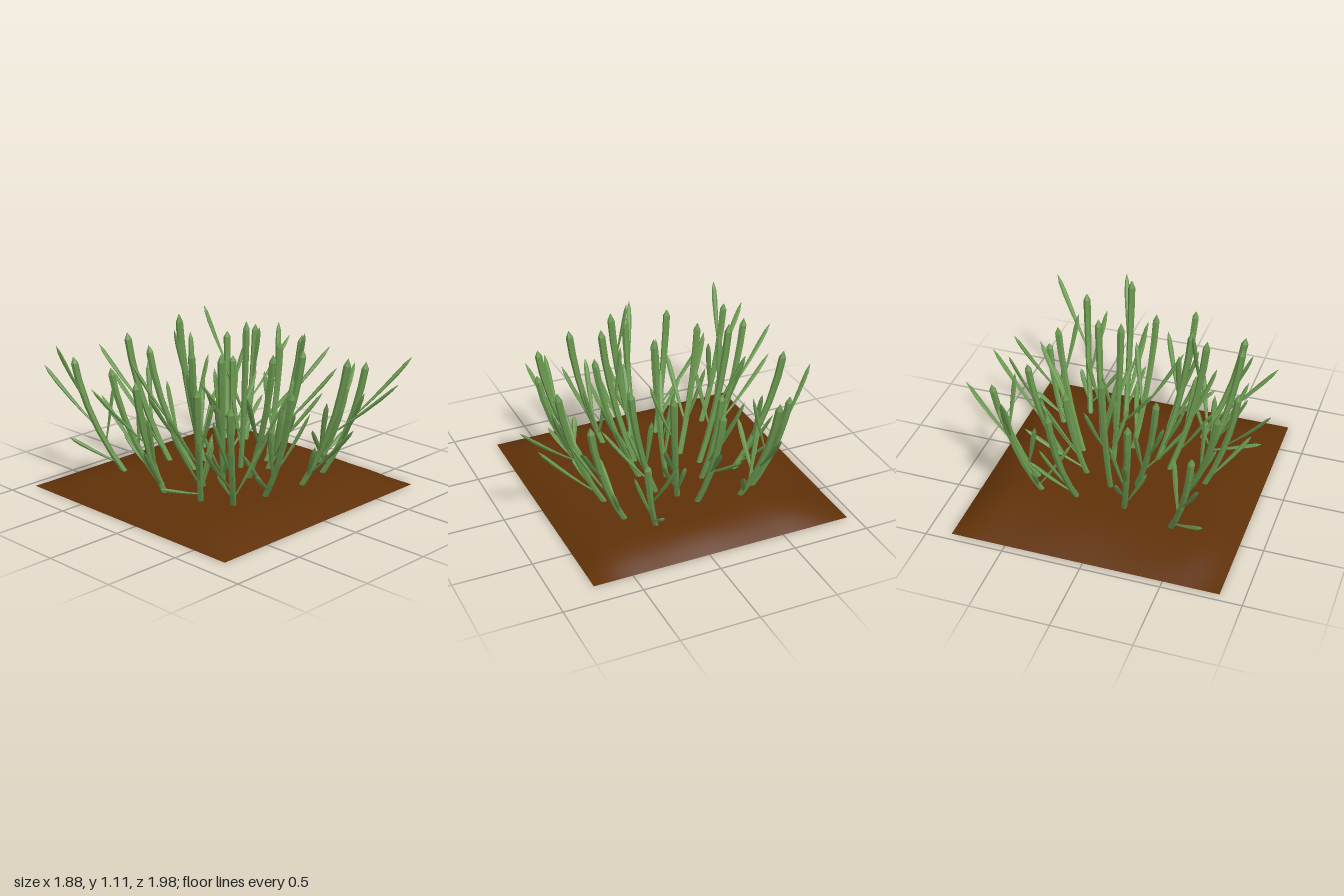
import * as THREE from 'three';

const green = new THREE.MeshStandardMaterial({ color: 0x6a974f, flatShading: true, side: THREE.DoubleSide });
const soil = new THREE.MeshStandardMaterial({ color: 0x5f3108 });
const V = (x, y, z) => new THREE.Vector3(x, y, z);

// Sweep an elliptical section along a curve lying in a vertical plane.
// profile rows are [position along curve, scale of the section]
function sweep(curve, profile, width, thick, sides) {
  const a = curve.getPoint(0), b = curve.getPoint(1);
  const side = V(a.z - b.z, 0, b.x - a.x).normalize();
  const pos = [], index = [];
  profile.forEach(([t, s], i) => {
    const p = curve.getPoint(t);
    const normal = curve.getTangent(t).cross(side).normalize();
    for (let j = 0; j < sides; j++) {
      const ang = (j / sides) * Math.PI * 2;
      const q = p.clone().addScaledVector(side, Math.cos(ang) * s * width)
        .addScaledVector(normal, Math.sin(ang) * s * thick);
      pos.push(q.x, q.y, q.z);
      if (i) {
        const k = (j + 1) % sides, lo = (i - 1) * sides, hi = i * sides;
        index.push(lo + j, lo + k, hi + k, lo + j, hi + k, hi + j);
      }
    }
  });
  const g = new THREE.BufferGeometry();
  g.setAttribute('position', new THREE.Float32BufferAttribute(pos, 3));
  g.setIndex(index);
  g.computeVertexNormals();
  return g;
}

const stalkProfile = [[0, 0.8], [0.2, 0.8], [0.4, 0.85], [0.6, 0.9], [0.8, 1], [0.95, 1.02], [1, 0.08]];
const leafProfile = [[0, 0.35], [0.25, 0.55], [0.5, 0.85], [0.75, 1], [0.9, 0.8], [1, 0.08]];

function addMesh(group, name, geometry, material) {
  const m = new THREE.Mesh(geometry, material);
  m.name = name;
  group.add(m);
}

// One stalk leaning out from its base and turning upright, with its leaves [tip x, y, z]
function plant(parent, bx, bz, tx, h, tz, ...leaves) {
  const g = new THREE.Group();
  g.name = 'plant';
  const mid = 0.82;
  const curve = new THREE.QuadraticBezierCurve3(
    V(bx, 0.06, bz),
    V(bx + (tx - bx) * mid, h * 0.52, bz + (tz - bz) * mid),
    V(tx, h, tz));
  addMesh(g, 'stalk', sweep(curve, stalkProfile, 0.023, 0.023, 6), green);
  for (const [x, y, z] of leaves) {
    // lower leaves spring from lower on the stalk
    const start = Math.max(0.15, y - 0.38);
    const a = curve.getPoint(Math.min(0.85, (start - 0.06) / (h - 0.06)));
    const c = V(a.x + (x - a.x) * 0.53, a.y + (y - a.y) * 0.46, a.z + (z - a.z) * 0.53);
    const leafCurve = new THREE.QuadraticBezierCurve3(a, c, V(x, y, z));
    addMesh(g, 'leaf', sweep(leafCurve, leafProfile, 0.018, 0.012, 6), green);
  }
  parent.add(g);
}

// Mound of soil with sloping edges and a flat underside
function addSoil(parent) {
  const g = new THREE.Group();
  g.name = 'soil';
  const top = new THREE.PlaneGeometry(1.7, 1.7, 32, 32).rotateX(-Math.PI / 2).translate(0, 0, -0.1);
  const p = top.attributes.position;
  const ease = (d, w) => 1 - (1 - Math.min(Math.max(d, 0) / w, 1)) ** 2;
  for (let i = 0; i < p.count; i++) {
    const x = p.getX(i), z = p.getZ(i);
    const edge = ease(0.85 - Math.abs(x), 0.25) * ease(z + 0.95, 0.45) * ease(0.75 - z, 0.35);
    const rise = 0.02 * Math.exp(-6 * ((x - 0.35) ** 2 + (z + 0.4) ** 2));
    p.setY(i, edge * (0.095 + rise + 0.006 * Math.sin(x * 9 + 1) * Math.cos(z * 8)));
  }
  top.computeVertexNormals();
  addMesh(g, 'soilTop', top, soil);
  addMesh(g, 'soilUnderside', new THREE.PlaneGeometry(1.7, 1.7).rotateX(Math.PI / 2).translate(0, 0, -0.1), soil);
  parent.add(g);
}

export function createModel() {
  const model = new THREE.Group();
  model.name = 'plantBed';
  addSoil(model);
  const add = (...args) => plant(model, ...args);

  // back row
  add(-0.42, -0.55, -0.62, 0.84, -0.81, [-0.71, 0.77, -0.99], [-0.76, 0.94, -0.8], [-0.69, 0.33, -0.79], [-0.46, 0.66, -0.62]);
  add(-0.10, -0.47, -0.22, 0.93, -0.75, [-0.27, 0.82, -0.97], [-0.20, 0.64, -0.93], [-0.09, 0.72, -0.70], [-0.29, 0.5, -0.61]);
  add(0.04, -0.31, 0.02, 1.05, -0.52, [0.10, 0.85, -0.60], [-0.08, 0.72, -0.34], [-0.05, 0.96, -0.49]);
  add(0.20, -0.46, 0.26, 0.92, -0.78, [0.35, 0.7, -0.59], [0.45, 0.42, -0.63], [0.37, 0.55, -0.66]);
  add(0.41, -0.48, 0.59, 0.8, -0.65, [0.23, 0.5, -0.49], [0.53, 0.96, -0.81], [0.67, 0.72, -0.56], [0.43, 0.33, -0.62]);

  // right side
  add(0.47, -0.37, 0.72, 0.85, -0.51, [0.94, 0.75, -0.40], [0.85, 0.49, -0.21], [0.62, 0.87, -0.38], [0.45, 0.6, -0.52]);
  add(0.21, -0.24, 0.32, 0.75, -0.33, [0.60, 0.42, -0.33], [0.50, 0.62, -0.29], [0.42, 0.66, -0.40]);
  add(0.42, -0.11, 0.62, 0.81, -0.19, [0.92, 0.75, -0.02], [0.70, 0.91, -0.28], [0.52, 0.62, -0.24]);
  add(0.31, -0.04, 0.52, 0.93, 0.09, [0.70, 0.7, 0.23], [0.42, 0.98, 0.20], [0.60, 0.55, 0.20], [0.48, 0.4, -0.01]);
  add(0.54, 0.21, 0.68, 0.62, 0.33, [0.88, 0.7, 0.23], [0.75, 0.27, 0.26], [0.60, 0.5, 0.38]);

  // front row
  add(0.41, 0.35, 0.52, 0.86, 0.62, [0.78, 0.87, 0.77], [0.22, 0.45, 0.45], [0.41, 0.7, 0.70], [0.52, 0.36, 0.48]);
  add(0.18, 0.39, 0.24, 0.96, 0.71, [0.37, 0.83, 0.99], [0.17, 0.55, 0.82], [0.10, 0.4, 0.58], [0.11, 0.7, 0.66]);
  add(0.22, 0.06, 0.32, 0.91, 0.28, [0.13, 0.56, 0.39], [0.17, 0.55, 0.24], [0.36, 0.7, 0.16]);
  add(0.03, 0.08, -0.04, 0.97, 0.36, [0.10, 0.72, 0.38], [-0.23, 0.73, 0.33], [0.06, 0.5, 0.27]);
  add(-0.12, 0.36, -0.21, 0.84, 0.67, [-0.39, 0.34, 0.55], [-0.39, 0.45, 0.44], [-0.03, 0.66, 0.65], [-0.27, 0.62, 0.55]);
  add(-0.35, 0.33, -0.58, 0.8, 0.53, [-0.80, 0.6, 0.54], [-0.31, 0.5, 0.52], [-0.65, 0.72, 0.46], [-0.49, 0.32, 0.33]);

  // left side
  add(-0.15, 0.04, -0.32, 1.0, 0.20, [-0.34, 0.55, 0.0], [-0.27, 0.88, 0.09], [-0.38, 0.7, 0.22], [-0.24, 0.4, 0.2]);
  add(-0.25, -0.03, -0.45, 1.03, 0.08, [-0.38, 1.11, 0.0], [-0.53, 0.6, -0.04], [-0.36, 0.7, 0.17], [-0.50, 0.8, 0.14]);
  add(-0.44, 0.14, -0.62, 0.87, 0.30, [-0.80, 0.27, 0.17], [-0.70, 0.6, 0.16], [-0.46, 0.5, 0.27], [-0.66, 0.6, 0.34], [-0.36, 0.5, 0.16]);
  add(-0.50, -0.10, -0.71, 0.84, -0.13, [-0.94, 0.82, -0.26], [-0.77, 0.45, 0.0], [-0.68, 0.62, -0.06]);
  add(-0.41, -0.21, -0.66, 0.86, -0.41, [-0.56, 0.62, -0.62], [-0.55, 0.72, -0.28], [-0.53, 0.4, -0.45]);
  add(-0.10, -0.24, -0.30, 0.92, -0.46, [-0.45, 0.66, -0.31], [-0.37, 0.8, -0.54], [-0.16, 0.66, -0.45]);

  // centre
  add(0.11, -0.06, 0.08, 1.09, 0.02, [-0.17, 0.72, -0.14], [0.17, 0.75, -0.08], [0.08, 0.6, -0.10]);
  return model;
}
